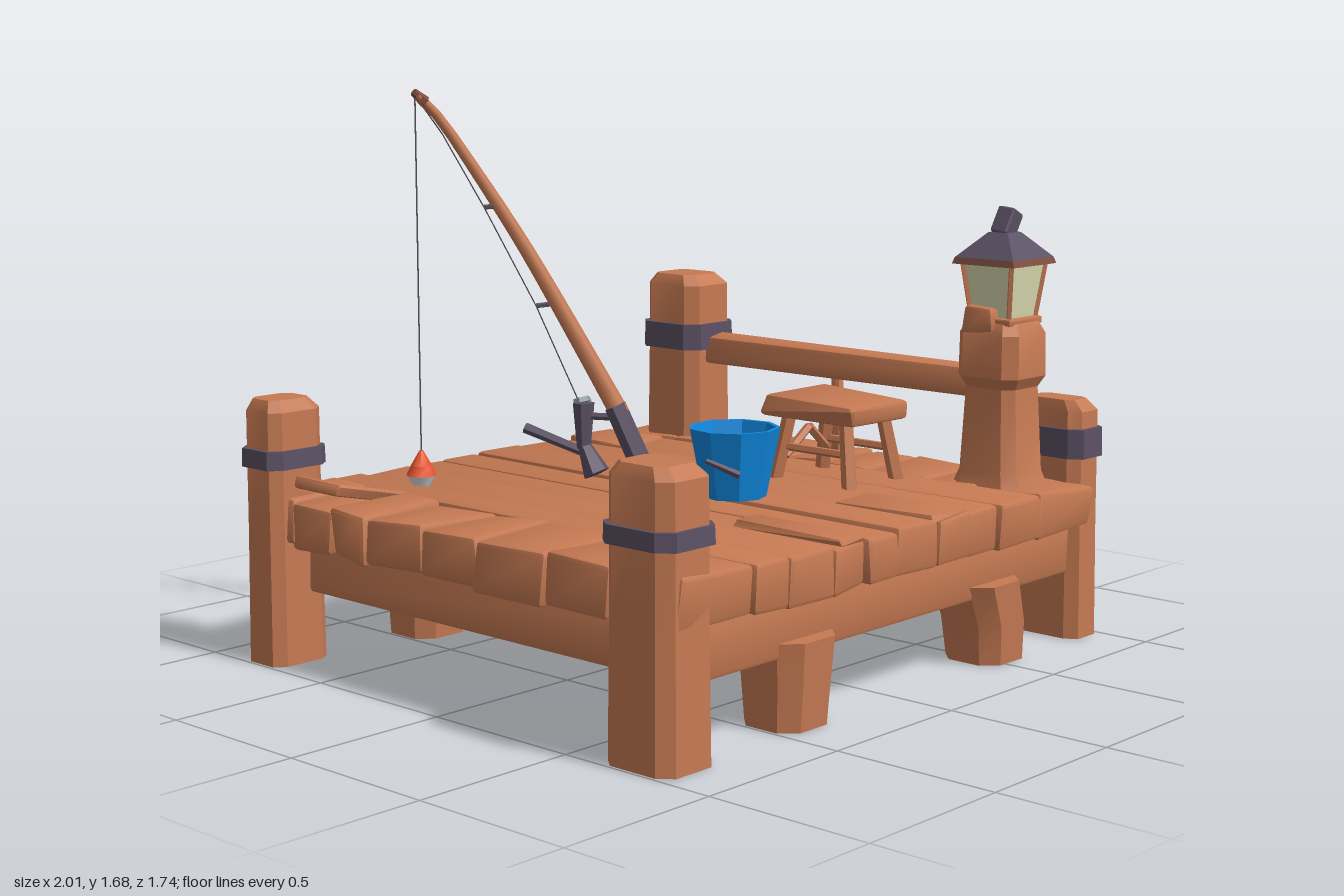
import * as THREE from 'three';
import { toCreasedNormals } from 'three/addons/utils/BufferGeometryUtils.js';
import { RoundedBoxGeometry } from 'three/addons/geometries/RoundedBoxGeometry.js';

export function createModel() {
  const model = new THREE.Group();
  model.name = 'fishingDock';
  const mat = (name, color, side = THREE.FrontSide) => {
    const m = new THREE.MeshStandardMaterial({ color, side });
    m.name = name;
    return m;
  };
  const wood = mat('wood', 0xc67a53);
  const iron = mat('darkIron', 0x5c5165);
  const blue = mat('bucketBlue', 0x1088de, THREE.DoubleSide);
  const glass = mat('lampGlass', 0xdcdcb2);
  const roofBrown = mat('roofBrown', 0x804f41);
  const orange = mat('floatOrange', 0xe8552c);
  const white = mat('floatWhite', 0xe4e4e4);
  const grey = mat('reelGrey', 0x8b96a3);
  const lineMat = mat('fishingLine', 0x55555a);

  let seed = 7;
  const rand = () => {
    seed = (seed * 16807) % 2147483647;
    return seed / 2147483647 - 0.5;
  };
  const add = (name, geo, material, parent = model) => {
    const m = new THREE.Mesh(geo, material);
    m.name = name;
    parent.add(m);
    return m;
  };
  const group = (name) => {
    const g = new THREE.Group();
    g.name = name;
    model.add(g);
    return g;
  };

  // Chamfered board between two corners, each corner nudged a little
  const board = (name, x0, x1, y0, y1, z0, z1, parent, wobble = 0.012, material = wood) => {
    const s = [x1 - x0, y1 - y0, z1 - z0];
    const g = new RoundedBoxGeometry(...s, 1, Math.min(0.014, Math.min(...s) * 0.25));
    const shift = Array.from({ length: 8 }, () => [rand() * wobble, rand() * wobble, rand() * wobble]);
    const p = g.attributes.position;
    for (let i = 0; i < p.count; i++) {
      const [x, y, z] = [p.getX(i), p.getY(i), p.getZ(i)];
      const d = shift[(x > 0 ? 1 : 0) + (y > 0 ? 2 : 0) + (z > 0 ? 4 : 0)];
      p.setXYZ(i, x + d[0], y + d[1], z + d[2]);
    }
    const m = add(name, toCreasedNormals(g, 0.6), material, parent);
    m.position.set((x0 + x1) / 2, (y0 + y1) / 2, (z0 + z1) / 2);
    return m;
  };

  // Loft of chamfered squares: rings of [y, halfX, halfZ, offsetX, offsetZ]
  const loft = (rings, k = 0.66) => {
    const o = [[1, -k], [1, k], [k, 1], [-k, 1], [-1, k], [-1, -k], [-k, -1], [k, -1]];
    const pos = [], idx = [], top = rings.length - 1;
    for (const [y, hx, hz, ox = 0, oz = 0] of rings) for (const [a, b] of o) pos.push(ox + a * hx, y, oz + b * hz);
    for (let r = 0; r < top; r++) for (let j = 0; j < 8; j++) {
      const a = r * 8 + j, b = r * 8 + (j + 1) % 8;
      idx.push(a, a + 8, b, b, a + 8, b + 8);
    }
    for (let j = 1; j < 7; j++) idx.push(0, j, j + 1, top * 8, top * 8 + j + 1, top * 8 + j);
    const g = new THREE.BufferGeometry();
    g.setAttribute('position', new THREE.Float32BufferAttribute(pos, 3));
    g.setIndex(idx);
    g.computeVertexNormals();
    return toCreasedNormals(g, 0.5);
  };

  // Tapered bar between two points
  const bar = (name, a, b, r0, r1, material, parent, sides = 6) => {
    const A = new THREE.Vector3(...a), B = new THREE.Vector3(...b);
    const g = toCreasedNormals(new THREE.CylinderGeometry(r1, r0, A.distanceTo(B), sides), 0.9);
    const m = add(name, g, material, parent);
    m.position.copy(A).add(B).multiplyScalar(0.5);
    m.quaternion.setFromUnitVectors(new THREE.Vector3(0, 1, 0), B.sub(A).normalize());
    return m;
  };

  // Frame under the deck
  const deck = group('deck');
  board('underFrame', -0.86, 0.87, 0.205, 0.37, -0.8, 0.8, deck, 0.008);
  board('deckCore', -0.92, 0.87, 0.362, 0.47, -0.83, 0.83, deck, 0);

  // Long planks running front to back
  const cuts = [-0.66, -0.53, -0.34, -0.2, -0.06, 0.12, 0.27, 0.42, 0.62];
  for (let i = 0; i < cuts.length - 1; i++) {
    board('longPlank', cuts[i], cuts[i + 1], 0.36, 0.497 + rand() * 0.012,
      -0.86 + rand() * 0.015, 0.86 + rand() * 0.015, deck);
  }
  // Short cross planks along both sides
  const leftCuts = [-0.85, -0.69, -0.5, -0.35, -0.12, 0.1, 0.36, 0.6, 0.85];
  const rightCuts = [-0.86, -0.6, -0.36, -0.12, 0.03, 0.2, 0.44, 0.62, 0.86];
  for (let i = 0; i < 8; i++) {
    board('leftCrossPlank', -0.945, -0.655, 0.36, 0.5 + rand() * 0.012, leftCuts[i], leftCuts[i + 1], deck, 0.02);
    board('rightCrossPlank', 0.61, 0.895, 0.36, 0.495 + rand() * 0.012, rightCuts[i], rightCuts[i + 1], deck, 0.02);
  }
  // Patches and a lifted board
  board('patch', 0.36, 0.56, 0.48, 0.507, -0.85, -0.61, deck);
  board('patch', -0.3, -0.2, 0.48, 0.507, 0.46, 0.85, deck);
  board('patch', 0.1, 0.26, 0.48, 0.507, 0.5, 0.85, deck);
  board('liftedBoard', -0.93, -0.65, 0.5, 0.535, -0.7, -0.5, deck).rotation.z = -0.24;

  // Corner posts with iron straps: x, z, halfX, halfZ, bottom, top, strap bottom, strap top
  const posts = [
    ['frontRightPost', -0.89, 0.73, 0.1, 0.12, 0, 0.79, 0.585, 0.635],
    ['frontLeftPost', 0.93, 0.715, 0.068, 0.115, 0, 0.74, 0.56, 0.65],
    ['backRightPost', -0.89, -0.785, 0.1, 0.08, 0, 0.79, 0.59, 0.645],
    ['backLeftPost', 0.74, -0.66, 0.11, 0.12, 0.4, 1.04, 0.79, 0.875],
  ];
  for (const [name, x, z, hx, hz, y0, y1, s0, s1] of posts) {
    const g = group(name);
    g.position.set(x, 0, z);
    add('post', loft([[y0, hx, hz], [(y0 + y1) / 2, hx * 0.96, hz * 0.96], [y1 - 0.035, hx * 0.95, hz * 0.95],
      [y1, hx * 0.7, hz * 0.7, -0.01, 0]]), wood, g);
    const strap = add('strap', loft([[s0, hx + 0.009, hz + 0.009], [s1, hx + 0.007, hz + 0.007]]), iron, g);
    strap.position.y = rand() * 0.01;
  }

  // Stub legs under the frame
  for (const [x, lean] of [[-0.39, 0], [0.52, -0.05]]) for (const z of [-0.73, 0.73]) {
    add('stubLeg', loft([[0, 0.1, 0.1, lean * -0.2, 0], [0.12, 0.105, 0.11], [0.25, 0.115, 0.12, lean, 0]], 0.55), wood)
      .position.set(x, 0, z);
  }

  // Railing
  const railing = group('railing');
  board('rail', 0.705, 0.785, 0.745, 0.84, -0.57, 0.56, railing);
  board('railStrut', 0.73, 0.76, 0.48, 0.76, -0.03, 0.005, railing, 0.004);

  // Lantern column
  const lamp = group('lantern');
  lamp.position.set(0.74, 0, 0.63);
  add('column', loft([[0.48, 0.112, 0.125], [0.53, 0.098, 0.105], [0.8, 0.088, 0.09]]), wood, lamp);
  add('columnHead', loft([[0.785, 0.088, 0.09], [0.82, 0.108, 0.11], [0.95, 0.105, 0.108], [0.985, 0.085, 0.09]]), wood, lamp);
  board('headChip', -0.1, -0.05, 0.95, 1.035, -0.08, 0.03, lamp, 0.02);
  board('lampBase', -0.085, 0.085, 0.978, 1.0, -0.085, 0.085, lamp, 0.003);
  // Glass and its corner bars
  const four = (rTop, rBottom, h) =>
    toCreasedNormals(new THREE.CylinderGeometry(rTop * Math.SQRT2, rBottom * Math.SQRT2, h, 4).rotateY(Math.PI / 4), 0.3);
  add('glass', four(0.088, 0.066, 0.17), glass, lamp).position.y = 1.08;
  for (const sx of [-1, 1]) for (const sz of [-1, 1]) {
    bar('cornerBar', [sx * 0.068, 0.99, sz * 0.068], [sx * 0.09, 1.17, sz * 0.09], 0.009, 0.009, wood, lamp, 4);
  }
  add('eave', four(0.106, 0.112, 0.02), roofBrown, lamp).position.y = 1.168;
  add('roof', four(0.035, 0.106, 0.075), iron, lamp).position.y = 1.215;
  const cap = add('roofCap', new RoundedBoxGeometry(0.06, 0.085, 0.06, 1, 0.008), iron, lamp);
  cap.position.set(0.01, 1.28, 0);
  cap.rotation.set(0.1, 0, -0.45);

  // Stool
  const stool = group('stool');
  stool.position.set(0.435, 0, 0.235);
  board('seat', -0.148, 0.148, 0.685, 0.745, -0.175, 0.175, stool, 0.018);
  for (const sx of [-1, 1]) {
    for (const sz of [-1, 1]) {
      bar('stoolLeg', [sx * 0.115, 0.49, sz * 0.145], [sx * 0.09, 0.69, sz * 0.11], 0.025, 0.023, wood, stool, 5);
    }
    bar('stoolBrace', [sx * 0.1, 0.59, -0.13], [sx * 0.1, 0.59, 0.13], 0.013, 0.013, wood, stool, 5);
    bar('stoolStrut', [sx * 0.1, 0.56, -0.12], [0, 0.64, -0.11], 0.014, 0.014, wood, stool, 5);
  }

  // Open bucket
  const bucket = group('bucket');
  bucket.position.set(-0.035, 0, 0.23);
  const profile = [[0, 0.515], [0.095, 0.505], [0.118, 0.62], [0.136, 0.71], [0.123, 0.71], [0.106, 0.62]];
  const lathe = new THREE.LatheGeometry(profile.map(([r, y]) => new THREE.Vector2(r, y)), 9);
  add('bucketBody', toCreasedNormals(lathe, 0.3), blue, bucket);
  bar('bucketHandle', [-0.145, 0.63, 0.02], [-0.09, 0.59, 0.1], 0.008, 0.012, iron, bucket, 5);

  // Tapered fishing rod
  const rod = group('fishingRod');
  const taperedTube = (name, pts, r0, r1, material) => {
    const n = 14, sides = 7;
    const path = new THREE.CatmullRomCurve3(pts.map((p) => new THREE.Vector3(...p)));
    const g = new THREE.TubeGeometry(path, n, 1, sides);
    const p = g.attributes.position, v = new THREE.Vector3();
    for (let i = 0; i < p.count; i++) {
      const t = Math.floor(i / (sides + 1)) / n, c = path.getPointAt(t);
      v.fromBufferAttribute(p, i).sub(c).multiplyScalar(r0 + (r1 - r0) * t).add(c);
      p.setXYZ(i, v.x, v.y, v.z);
    }
    g.computeVertexNormals();
    add(name, g, material, rod);
  };
  taperedTube('rodShaft', [[-0.055, 0.7, -0.215], [-0.13, 0.9, -0.295], [-0.26, 1.22, -0.42], [-0.4, 1.5, -0.53],
    [-0.46, 1.6, -0.565], [-0.525, 1.665, -0.585]], 0.031, 0.014, wood);
  bar('rodHandle', [-0.015, 0.515, -0.145], [-0.065, 0.725, -0.225], 0.036, 0.034, iron, rod);
  bar('rodTip', [-0.5, 1.645, -0.578], [-0.535, 1.675, -0.588], 0.018, 0.012, roofBrown, rod);
  // Reel and crank
  bar('reelFoot', [-0.1, 0.515, -0.27], [-0.11, 0.61, -0.32], 0.042, 0.018, iron, rod);
  bar('reelBody', [-0.11, 0.59, -0.315], [-0.11, 0.73, -0.315], 0.022, 0.034, iron, rod);
  bar('reelCap', [-0.11, 0.73, -0.32], [-0.11, 0.745, -0.325], 0.03, 0.025, grey, rod);
  bar('reelMount', [-0.06, 0.69, -0.21], [-0.11, 0.69, -0.315], 0.012, 0.012, iron, rod);
  bar('crank', [-0.1, 0.57, -0.3], [-0.2, 0.645, -0.48], 0.014, 0.017, iron, rod);
  // Line along the rod, its guides, and the hanging line
  const guides = [[-0.12, 0.74, -0.33], [-0.225, 1.03, -0.4], [-0.35, 1.33, -0.49], [-0.45, 1.55, -0.56], [-0.53, 1.665, -0.588]];
  for (let i = 0; i < 4; i++) {
    bar('rodLine', guides[i], guides[i + 1], 0.0025, 0.0025, lineMat, rod, 4);
    if (i === 1 || i === 2) {
      const [x, y, z] = guides[i];
      bar('lineGuide', [x, y, z], [x + 0.035, y + 0.005, z + 0.03], 0.008, 0.008, iron, rod, 5);
    }
  }
  bar('hangingLine', [-0.53, 0.59, -0.585], [-0.53, 1.665, -0.588], 0.003, 0.003, lineMat, rod, 4);

  // Float on the deck
  const float = group('float');
  float.position.set(-0.53, 0, -0.585);
  bar('floatBase', [0, 0.495, 0], [0, 0.53, 0], 0.025, 0.044, white, float, 8);
  bar('floatBody', [0, 0.53, 0], [0, 0.56, 0], 0.046, 0.032, orange, float, 8);
  bar('floatPeak', [0, 0.56, 0], [0, 0.605, 0], 0.032, 0.006, orange, float, 8);

  return model;
}
